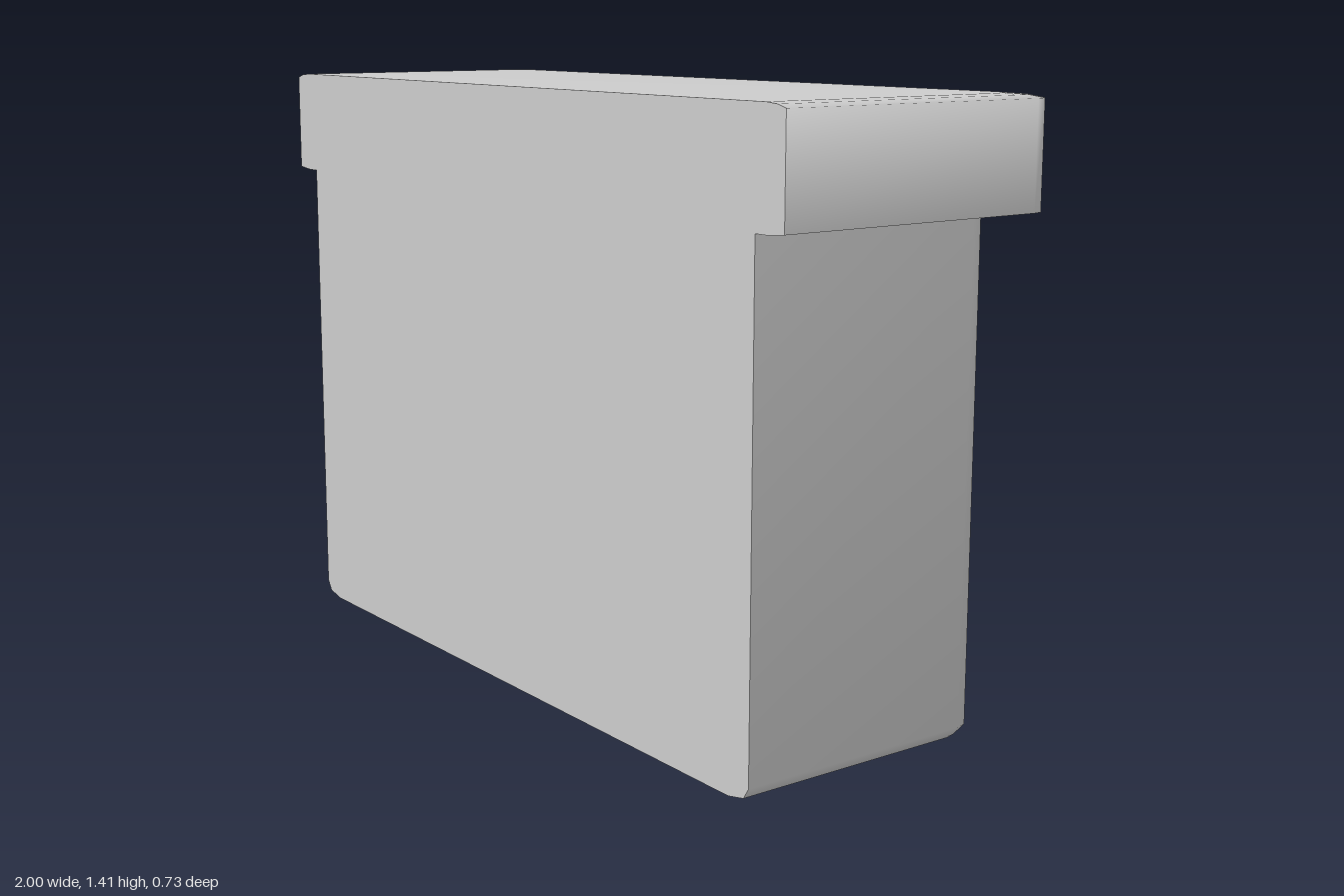
import * as THREE from 'three';
import { toCreasedNormals } from 'three/addons/utils/BufferGeometryUtils.js';

const FRONT = 0.367;

// Plan outline: square at the flat front, rounded at the two back corners
function outline(halfWidth, back, inset, radius = 0.055, steps = 3) {
  const w = halfWidth - inset;
  const b = back + inset;
  const points = [[-w, FRONT], [w, FRONT]];
  for (const side of [1, -1]) {
    for (let i = 0; i <= steps; i++) {
      const a = ((side > 0 ? i : steps - i) / steps) * Math.PI / 2;
      points.push([
        side * (w - radius + radius * Math.cos(a)),
        b + radius - radius * Math.sin(a),
      ]);
    }
  }
  return points;
}

// Stack outlines at [height, inset], bottom to top, and cap both ends
function block(name, halfWidth, back, sections, material) {
  const loops = sections.map(([, inset]) => outline(halfWidth, back, inset));
  const n = loops[0].length;
  const positions = [];
  const index = [];
  loops.forEach((loop, k) => loop.forEach(([x, z]) => positions.push(x, sections[k][0], z)));

  for (let k = 0; k < loops.length - 1; k++) {
    for (let i = 0; i < n; i++) {
      const a = k * n + i;
      const b = k * n + (i + 1) % n;
      index.push(a, b, b + n, a, b + n, a + n);
    }
  }
  const top = (loops.length - 1) * n;
  for (let i = 1; i < n - 1; i++) {
    index.push(0, i + 1, i);
    index.push(top, top + i, top + i + 1);
  }

  const geometry = new THREE.BufferGeometry();
  geometry.setAttribute('position', new THREE.Float32BufferAttribute(positions, 3));
  geometry.setIndex(index);
  const mesh = new THREE.Mesh(toCreasedNormals(geometry, 1.4), material);
  mesh.name = name;
  return mesh;
}

export function createModel() {
  const group = new THREE.Group();
  group.name = 'lidded box';
  const material = new THREE.MeshStandardMaterial({ color: 0xcccccc });

  // Body with a softened bottom edge
  group.add(block('body', 0.913, -0.28,
    [[0, 0.065], [0.011, 0.016], [0.036, 0], [1.165, 0]], material));

  // Overhanging lid with softened top and bottom edges
  group.add(block('lid', 1, -0.367,
    [[1.163, 0.05], [1.168, 0], [1.405, 0], [1.412, 0.025], [1.415, 0.06]], material));

  return group;
}
